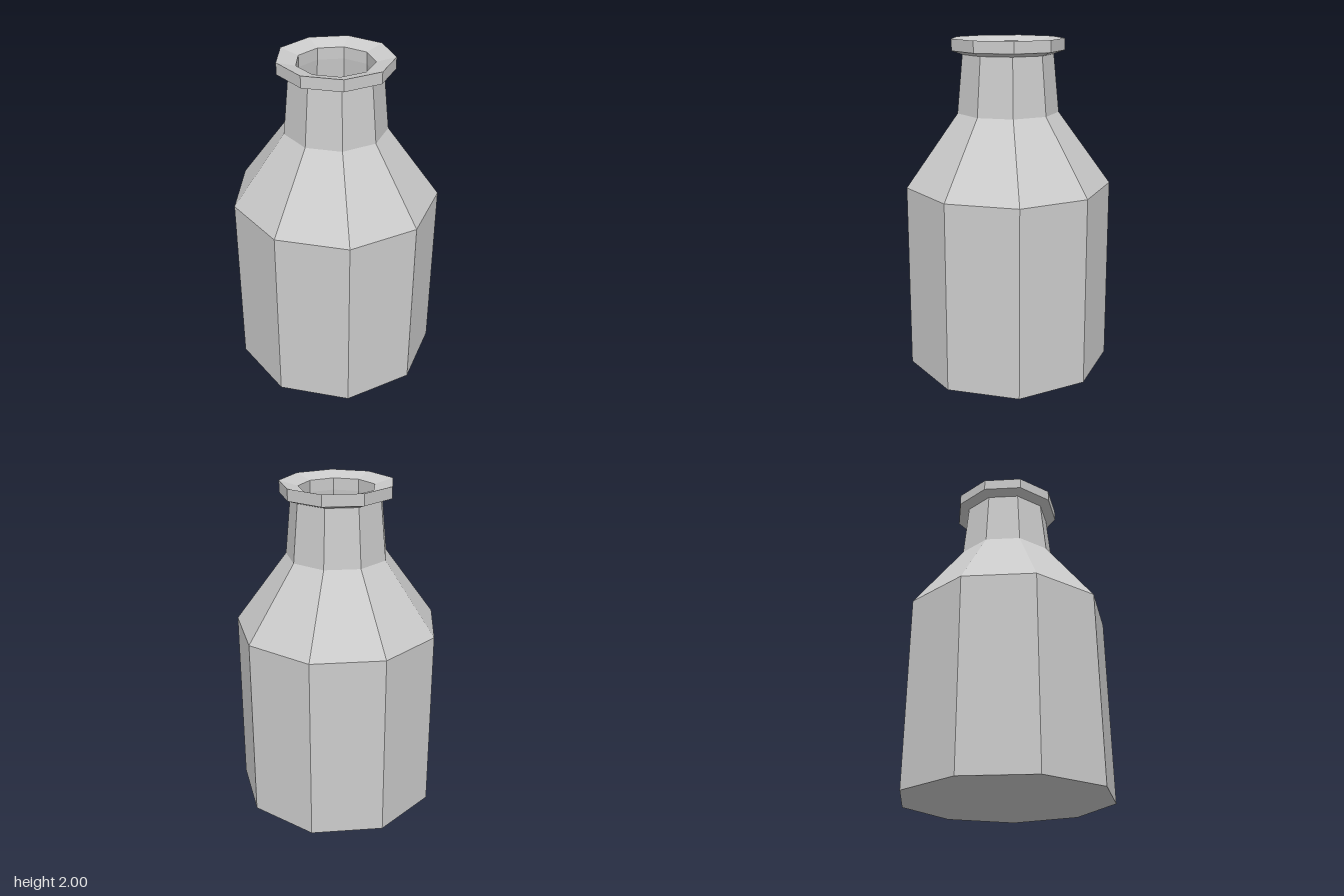
import * as THREE from 'three';

const SIDES = 9;

// Turns a list of [radius, height] pairs into a faceted ring with a corner at the back
function facetedLathe(name, profile, material) {
  const points = profile.map(([r, y]) => new THREE.Vector2(r, y));
  const mesh = new THREE.Mesh(new THREE.LatheGeometry(points, SIDES, Math.PI), material);
  mesh.name = name;
  return mesh;
}

export function createModel() {
  const group = new THREE.Group();
  group.name = 'bottle';
  const material = new THREE.MeshStandardMaterial({ color: 0xcccccc, flatShading: true });

  // Base, body, shoulder and neck
  group.add(facetedLathe('outerShell', [
    [0, 0], [0.632, 0], [0.622, 1.14], [0.306, 1.57], [0.272, 1.91],
  ], material));

  // Flared lip with a top that dips towards the opening
  group.add(facetedLathe('lip', [
    [0.272, 1.91], [0.335, 1.932], [0.335, 2], [0.225, 1.97],
  ], material));

  // Hollow inside, from the opening down to the floor
  group.add(facetedLathe('innerShell', [
    [0.225, 1.97], [0.225, 1.9], [0.26, 1.55], [0.57, 1.12], [0.58, 0.06], [0, 0.06],
  ], material));

  // An odd number of sides reaches further to the back, so shift to centre the bounds
  group.children.forEach((part) => { part.position.z = 0.018; });
  return group;
}
